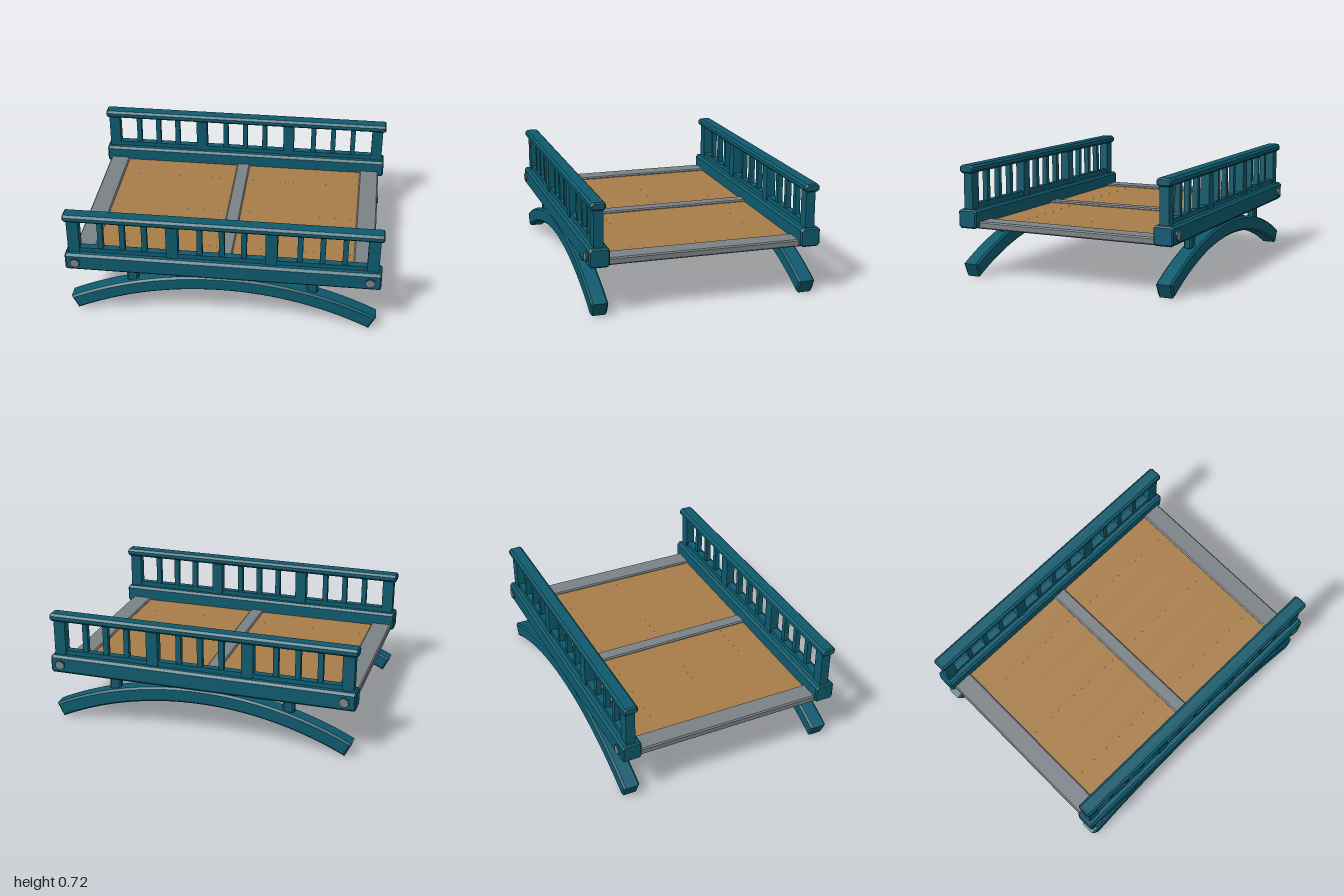
import * as THREE from 'three';

const teal = new THREE.MeshStandardMaterial({ name: 'teal paint', color: 0x0e5a6d });
const grey = new THREE.MeshStandardMaterial({ name: 'grey metal', color: 0x7b8286 });
const wood = new THREE.MeshStandardMaterial({ name: 'brown wood', color: 0xa87d4a });

// Extrudes a shape along z with chamfered edges kept inside the outline, centred on z = 0
function chamferedExtrude(shape, depth, bevel, curveSegments = 12) {
  const geometry = new THREE.ExtrudeGeometry(shape, {
    depth: depth - 2 * bevel, curveSegments, bevelEnabled: true, bevelSegments: 1,
    bevelSize: bevel, bevelThickness: bevel, bevelOffset: -bevel,
  });
  return geometry.translate(0, 0, -depth / 2 + bevel);
}

// Box with every edge chamfered, including those running along z
function chamferedBox(w, h, d, c) {
  const x = w / 2, y = h / 2, s = new THREE.Shape();
  s.moveTo(-x + c, -y);
  [[x - c, -y], [x, -y + c], [x, y - c], [x - c, y], [-x + c, y], [-x, y - c], [-x, -y + c]]
    .forEach(([px, py]) => s.lineTo(px, py));
  s.closePath();
  return chamferedExtrude(s, d, c * 0.6);
}

function add(group, name, geometry, material, x, y, z) {
  const mesh = new THREE.Mesh(geometry, material);
  mesh.name = name;
  mesh.position.set(x, y, z);
  group.add(mesh);
  return mesh;
}

// One side of the bridge, outer face towards +z
function buildSide(name) {
  const side = new THREE.Group();
  side.name = name;

  // Beam and handrail: profiles chamfered along their length
  const alongX = (len, h, d, c) => chamferedBox(d, h, len, c).rotateY(Math.PI / 2);
  add(side, 'beam', alongX(2, 0.12, 0.128, 0.015), teal, 0, 0.39, 0.67);
  add(side, 'handrail', alongX(2, 0.05, 0.095, 0.014), teal, 0, 0.705, 0.672);
  add(side, 'lowerRail', new THREE.BoxGeometry(1.9, 0.04, 0.045), teal, 0, 0.46, 0.67);

  // Posts and thin balusters
  for (const x of [-0.943, -0.315, 0.31, 0.943])
    add(side, 'post', new THREE.BoxGeometry(0.075, 0.25, 0.06), teal, x, 0.565, 0.67);
  for (const x of [-0.772, -0.632, -0.492, -0.142, -0.002, 0.138, 0.488, 0.628, 0.768])
    add(side, 'baluster', new THREE.BoxGeometry(0.034, 0.25, 0.034), teal, x, 0.565, 0.67);

  // Curved support arch
  const outer = 2.224, inner = 2.126, half = 0.4585, mid = Math.PI / 2;
  const arc = new THREE.Shape();
  arc.absarc(0, 0, outer, mid - half, mid + half, false);
  arc.absarc(0, 0, inner, mid + half, mid - half, true);
  arc.closePath();
  add(side, 'arch', chamferedExtrude(arc, 0.106, 0.012, 18), teal, 0, 0.33 - outer, 0.667);

  // Struts between arch and beam
  for (const x of [-0.577, 0.573])
    add(side, 'strut', chamferedBox(0.075, 0.052, 0.11, 0.012).rotateX(Math.PI / 2), teal, x, 0.3, 0.664);

  // Hexagonal bolts: painted collar with a metal cap
  for (const x of [-0.935, 0.93]) {
    const hex = (r, h) => new THREE.CylinderGeometry(r, r, h, 6).rotateX(Math.PI / 2);
    add(side, 'boltCollar', hex(0.034, 0.03), teal, x, 0.39, 0.727);
    add(side, 'boltCap', hex(0.031, 0.004), grey, x, 0.39, 0.743);
  }
  return side;
}

export function createModel() {
  const model = new THREE.Group();
  model.name = 'bridge';

  // Both railings with their arches
  const front = buildSide('frontSide');
  const back = buildSide('backSide');
  back.rotation.y = Math.PI;
  model.add(front, back);

  // Deck boards running lengthwise, each leaning very slightly
  const boards = 6, width = 1.24 / boards;
  for (let i = 0; i < boards; i++) {
    const board = add(model, 'deckBoard', new THREE.BoxGeometry(1.75, 0.018, width),
      wood, 0, 0.35, -0.62 + width * (i + 0.5));
    board.rotation.x = (i % 2 ? 1 : -1) * 0.006;
  }

  // Metal strips across the deck; the end ones sit slightly askew
  for (const [name, x, w, turn] of [
    ['leftEndStrip', 0.894, 0.134, -0.01],
    ['middleStrip', -0.003, 0.092, 0],
    ['rightEndStrip', -0.91, 0.134, -0.006],
  ]) {
    const strip = add(model, name, chamferedBox(w, 0.046, 1.26, 0.008), grey, x, 0.349, 0);
    strip.rotation.y = turn;
  }
  return model;
}
